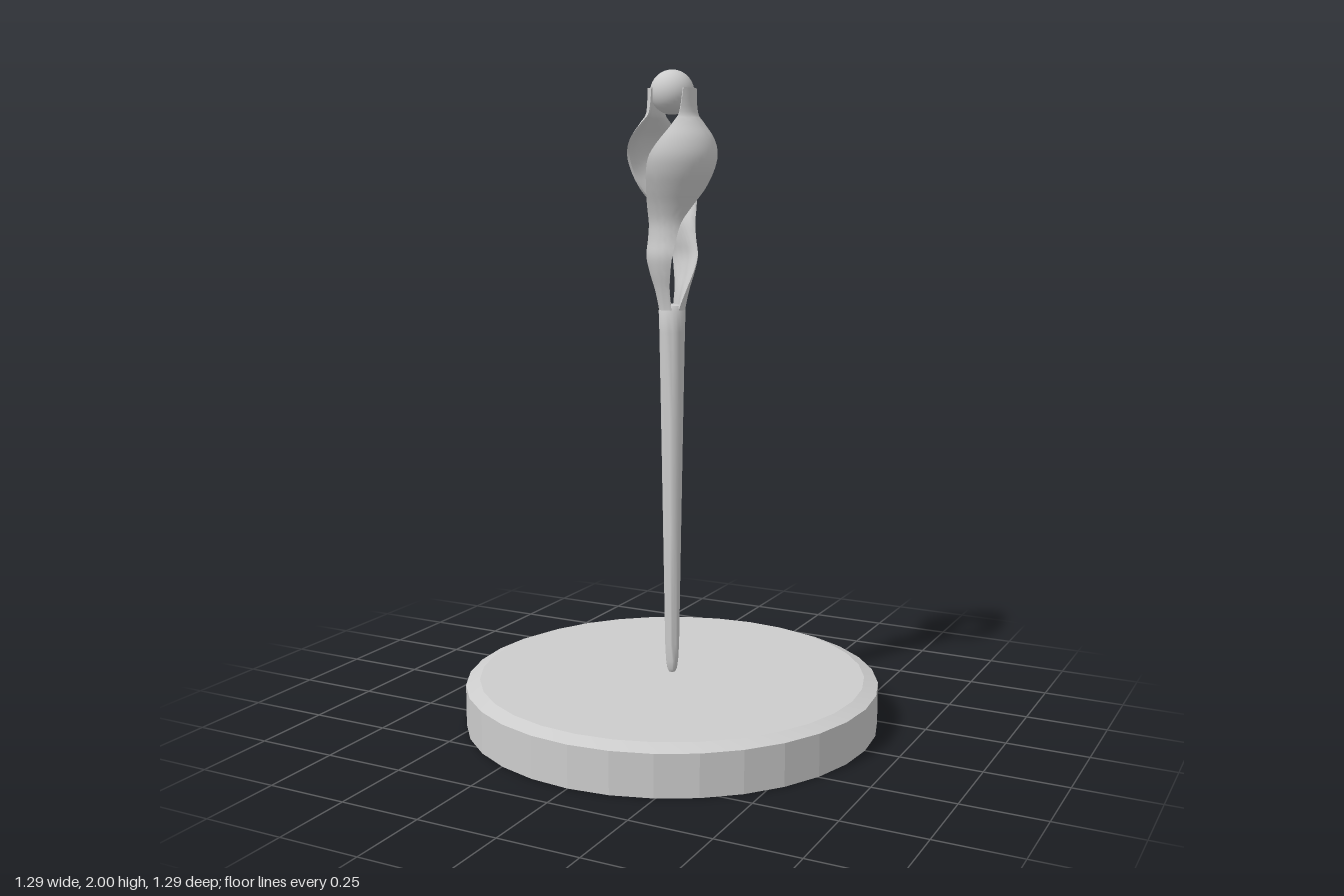
import * as THREE from 'three';
import { toCreasedNormals } from 'three/addons/utils/BufferGeometryUtils.js';

// Blade stations from top to bottom: height, outer radius, centre angle, half width (degrees), thickness
const STATIONS = [
  [1.945, 0.073, -12, 48, 0.014],
  [1.875, 0.077, -4, 50, 0.018],
  [1.845, 0.095, 8, 53, 0.022],
  [1.8, 0.125, 24, 54, 0.025],
  [1.75, 0.138, 38, 54, 0.026],
  [1.7, 0.131, 46, 53, 0.026],
  [1.65, 0.112, 54, 52, 0.026],
  [1.6, 0.09, 70, 49, 0.026],
  [1.55, 0.074, 88, 46, 0.025],
  [1.5, 0.073, 101, 47, 0.025],
  [1.45, 0.078, 112, 49, 0.026],
  [1.4, 0.068, 121, 53, 0.025],
  [1.35, 0.053, 130, 58, 0.024],
  [1.3, 0.042, 138, 70, 0.022],
  [1.26, 0.037, 142, 80, 0.02],
];

// Smooth interpolation through the station table
function sampleStation(t) {
  const n = STATIONS.length - 1;
  const i = Math.min(Math.floor(t * n), n - 1);
  const f = t * n - i;
  const at = (k) => STATIONS[Math.max(0, Math.min(n, k))];
  return STATIONS[i].map((b, k) => {
    const a = at(i - 1)[k], c = at(i + 1)[k], d = at(i + 2)[k];
    return b + 0.5 * f * (c - a + f * (2 * a - 5 * b + 4 * c - d + f * (3 * (b - c) + d - a)));
  });
}

// Curved blade: an arc-shaped section swept downwards while it twists
function bladeGeometry(rows = 56, cols = 14) {
  const positions = [], index = [];
  const ring = 2 * (cols + 1);
  for (let i = 0; i <= rows; i++) {
    const [y, radius, centre, half, thick] = sampleStation(i / rows);
    for (let j = 0; j < ring; j++) {
      const inner = j > cols;
      const u = ((inner ? ring - 1 - j : j) / cols) * 2 - 1;
      const angle = THREE.MathUtils.degToRad(centre + u * half);
      // The section thins towards both edges
      const depth = thick * (1 - 0.7 * u ** 4);
      const r = inner ? radius - depth : radius;
      positions.push(r * Math.cos(angle), y, r * Math.sin(angle));
    }
  }
  for (let i = 0; i < rows; i++) {
    for (let j = 0; j < ring; j++) {
      const a = i * ring + j, b = i * ring + ((j + 1) % ring);
      index.push(a, b, a + ring, b, b + ring, a + ring);
    }
  }
  // End caps
  const last = rows * ring;
  for (let j = 0; j < cols; j++) {
    const a = j, b = j + 1, c = ring - 2 - j, d = ring - 1 - j;
    index.push(a, c, b, a, d, c);
    index.push(last + a, last + b, last + c, last + a, last + c, last + d);
  }
  const geometry = new THREE.BufferGeometry();
  geometry.setAttribute('position', new THREE.Float32BufferAttribute(positions, 3));
  geometry.setIndex(index);
  return toCreasedNormals(geometry, 0.7);
}

function lathe(points, sides, crease) {
  const profile = points.map(([x, y]) => new THREE.Vector2(x, y));
  return toCreasedNormals(new THREE.LatheGeometry(profile, sides), crease);
}

export function createModel() {
  const model = new THREE.Group();
  model.name = 'displayStand';
  const grey = new THREE.MeshStandardMaterial({ color: 0xcccccc });
  grey.name = 'plain grey';

  const add = (name, geometry) => {
    const mesh = new THREE.Mesh(geometry, grey);
    mesh.name = name;
    model.add(mesh);
    return mesh;
  };

  // Faceted round base with a bevelled rim
  add('base', lathe([[0, 0], [0.643, 0], [0.643, 0.128], [0.6, 0.145], [0, 0.145]], 32, 0.1));

  // Tapered shaft with a rounded tip resting on the base
  add('shaft', lathe([
    [0, 0.145], [0.01, 0.148], [0.015, 0.158], [0.019, 0.185], [0.022, 0.24],
    [0.028, 0.6], [0.034, 0.95], [0.039, 1.22], [0.041, 1.285], [0.034, 1.3], [0, 1.305],
  ], 24, 0.8));

  // Two twisted blades forming the open grip
  const blade = bladeGeometry();
  add('leftBlade', blade);
  add('rightBlade', blade).rotation.y = Math.PI;

  // Ball held between the blade tips
  add('ball', new THREE.SphereGeometry(0.066, 32, 20)).position.y = 1.934;

  return model;
}
